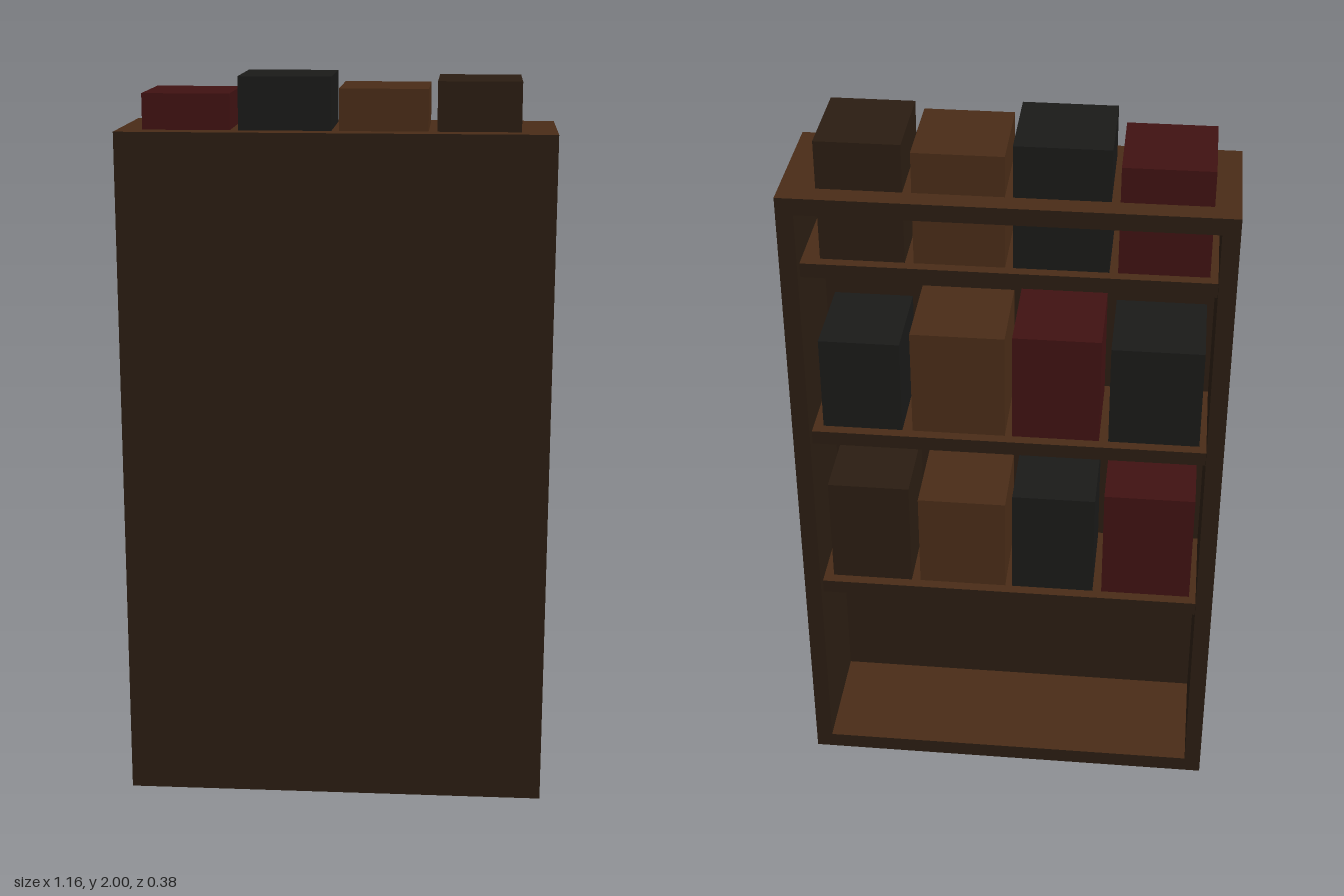
import * as THREE from 'three';

const mat = (color) => new THREE.MeshStandardMaterial({ color });

export function createModel() {
  const model = new THREE.Group();
  model.name = 'bookcase';

  const dark = mat(0x2b1d12), brown = mat(0x4a2c17), red = mat(0x401212), black = mat(0x1a1a18);
  // Boards are dark wood with a lighter upper face
  const board = [dark, dark, brown, dark, dark, dark];

  // Box given by its minimum and maximum on each axis
  function box(name, material, [x0, x1], [y0, y1], [z0, z1], parent = model) {
    const mesh = new THREE.Mesh(new THREE.BoxGeometry(x1 - x0, y1 - y0, z1 - z0), material);
    mesh.position.set((x0 + x1) / 2, (y0 + y1) / 2, (z0 + z1) / 2);
    mesh.name = name;
    parent.add(mesh);
  }

  const W = 0.58, H = 1.86, D = 0.19, T = 0.046;
  const inner = [-W + T, W - T];

  // Case: closed on +z, open on -z
  box('topBoard', board, [-W, W], [H - T, H], [-D, D]);
  box('bottomBoard', board, [-W, W], [0, T], [-D, D]);
  box('closedPanel', dark, [-W, W], [T, H - T], [D - T, D]);
  box('leftWall', dark, [W - T, W], [T, H - T], [-D, D - T]);
  box('rightWall', dark, [-W, -W + T], [T, H - T], [-D, D - T]);

  // Shelves with their rows of books: [x start, x end, height, material]
  const rows = [
    { y: 0.62, books: [
      [-0.515, -0.265, 0.335, red], [-0.24, -0.01, 0.315, black],
      [0.01, 0.255, 0.285, brown], [0.28, 0.507, 0.32, dark]] },
    { y: 1.14, books: [
      [-0.515, -0.27, 0.29, black], [-0.245, -0.01, 0.31, red],
      [0.01, 0.262, 0.305, brown], [0.29, 0.507, 0.27, black]] },
    // The tallest row rises through the top board
    { y: 1.66, books: [
      [-0.513, -0.28, 0.295, red], [-0.258, -0.012, 0.34, black],
      [0.008, 0.243, 0.31, brown], [0.266, 0.486, 0.33, dark]] },
  ];
  rows.forEach(({ y, books }, i) => {
    box(`shelf${i + 1}`, board, inner, [y - 0.04, y], [-0.16, D - T]);
    const row = new THREE.Group();
    row.name = `bookRow${i + 1}`;
    books.forEach(([x0, x1, h, m], j) =>
      box(`book${j + 1}`, m, [x0, x1], [y, y + h], [-0.13, 0.13], row));
    model.add(row);
  });

  return model;
}
